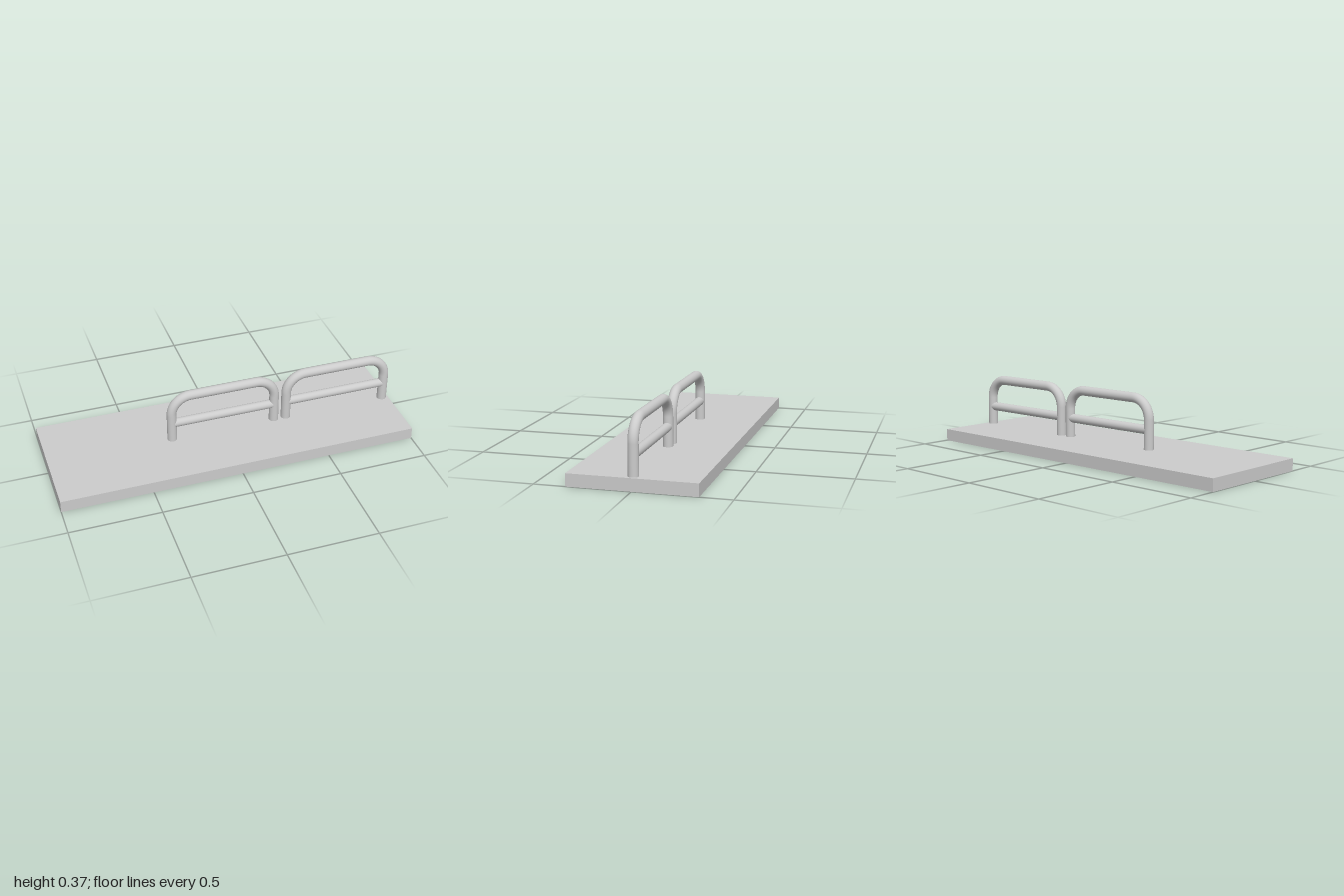
import * as THREE from 'three';

const SLAB = { w: 2, h: 0.067, d: 0.667 };
const R = 0.027;      // hoop tube radius
const HALF = 0.298;   // hoop centre to leg axis
const TOP = 0.34;     // height of the top rail axis
const BEND = 0.11;    // corner radius on the tube axis
const SIDES = 24;

export function createModel() {
  const material = new THREE.MeshStandardMaterial({ color: 0xcccccc });
  const group = new THREE.Group();
  group.name = 'barrierOnSlab';

  const add = (parent, name, geometry, x, y) => {
    const mesh = new THREE.Mesh(geometry, material);
    mesh.name = name;
    mesh.position.set(x, y, 0);
    parent.add(mesh);
    return mesh;
  };
  const rod = (radius, length) => new THREE.CylinderGeometry(radius, radius, length, SIDES, 1, true);

  // Ground slab
  add(group, 'slab', new THREE.BoxGeometry(SLAB.w, SLAB.h, SLAB.d), 0, SLAB.h / 2);

  // Two identical bent-tube hoops
  for (const x of [-0.003, 0.665]) {
    const hoop = new THREE.Group();
    hoop.name = 'hoop';
    hoop.position.x = x;
    group.add(hoop);

    const bendY = TOP - BEND;
    const legBottom = SLAB.h - 0.005;
    for (const side of [-1, 1]) {
      // Straight leg and the quarter bend above it
      add(hoop, 'leg', rod(R, bendY - legBottom), side * HALF, (bendY + legBottom) / 2);
      const bend = new THREE.TorusGeometry(BEND, R, SIDES, 16, Math.PI / 2);
      if (side < 0) bend.rotateZ(Math.PI / 2);
      add(hoop, 'cornerBend', bend, side * (HALF - BEND), bendY);
    }

    // Top rail and lower crossbar
    add(hoop, 'topRail', rod(R, 2 * (HALF - BEND)).rotateZ(Math.PI / 2), 0, TOP);
    add(hoop, 'crossbar', rod(0.025, 2 * HALF).rotateZ(Math.PI / 2), 0, 0.174);
  }
  return group;
}
